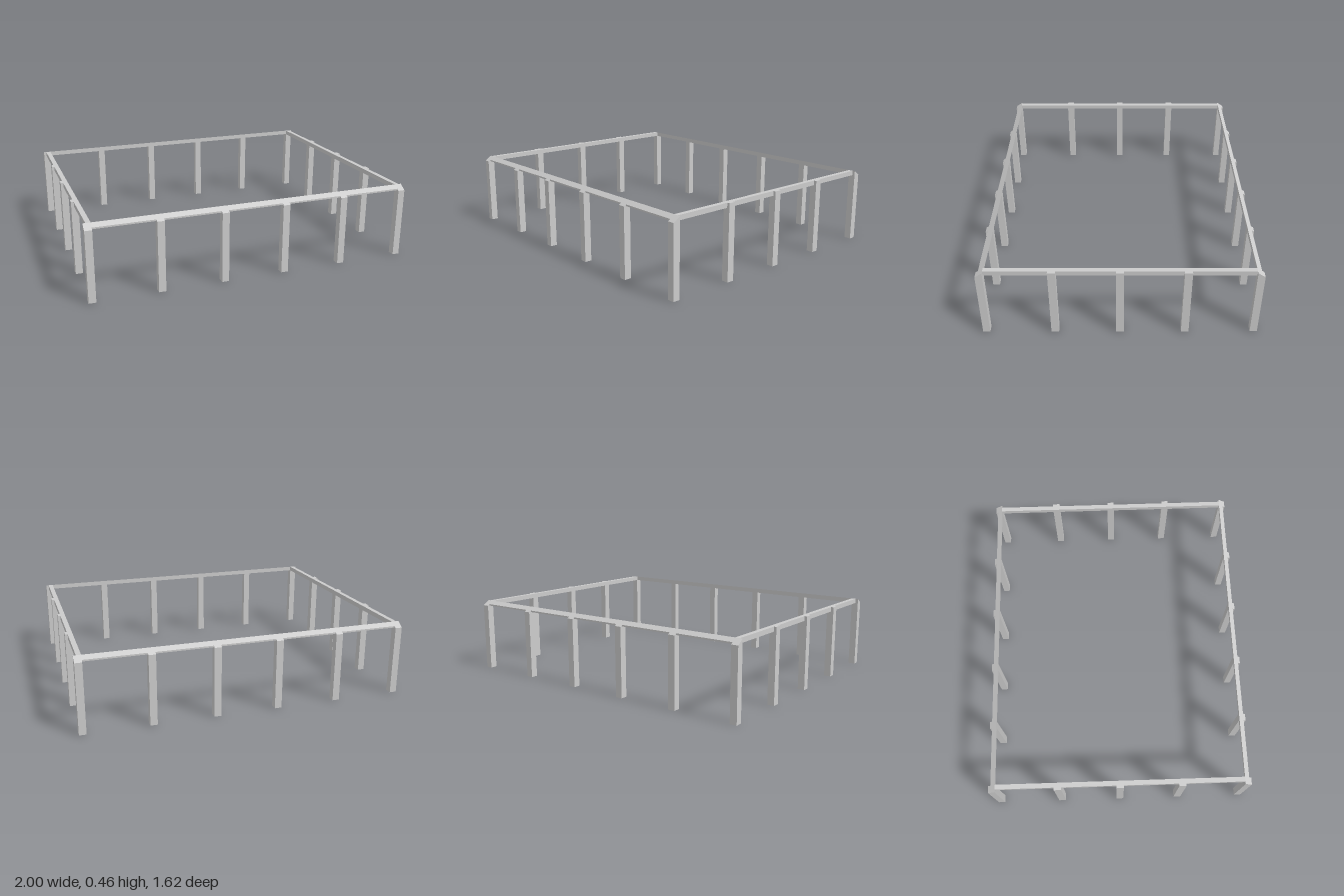
import * as THREE from 'three';

const TOP = 0.457, EAVE = 0.428;   // heights of the ridge edge and the low outer edge
const POST = 0.043, BEAM = 0.029;  // thickness of posts and beams
const INNER_Z = 0.765;             // inner face of the front and back rows
const SIDE_X = 0.978;              // centre line of the side rows

const material = new THREE.MeshStandardMaterial({ color: 0xcccccc, flatShading: true });

// Extrudes a (z, y) section along x; sign -1 mirrors it to the back
function alongX(name, section, length, x, sign) {
  const shape = new THREE.Shape(section.map(([z, y]) => new THREE.Vector2(z, y)));
  const geometry = new THREE.ExtrudeGeometry(shape, { depth: length, bevelEnabled: false });
  geometry.translate(0, 0, -length / 2);
  geometry.rotateY(-Math.PI / 2); // shape x becomes z
  if (sign < 0) geometry.rotateY(Math.PI);
  geometry.translate(x, 0, 0);
  const mesh = new THREE.Mesh(geometry, material);
  mesh.name = name;
  return mesh;
}

function box(name, w, h, d, x, y, z) {
  const mesh = new THREE.Mesh(new THREE.BoxGeometry(w, h, d), material);
  mesh.name = name;
  mesh.position.set(x, y, z);
  return mesh;
}

export function createModel() {
  const model = new THREE.Group();
  model.name = 'postAndBeamFrame';

  // Front and back rows: posts cut off at a slope, beams following the slope
  const postSection = [
    [INNER_Z, 0], [INNER_Z + POST, 0], [INNER_Z + POST, EAVE], [INNER_Z, TOP],
  ];
  const slope = (TOP - EAVE) / POST;
  const beamSection = [
    [INNER_Z, EAVE], [INNER_Z + BEAM, EAVE],
    [INNER_Z + BEAM, TOP - BEAM * slope], [INNER_Z, TOP],
  ];
  for (const sign of [1, -1]) {
    const row = new THREE.Group();
    row.name = sign > 0 ? 'frontRow' : 'backRow';
    for (const x of [-SIDE_X, -0.576, -0.192, 0.19, 0.573, SIDE_X]) {
      const corner = Math.abs(x) === SIDE_X;
      row.add(alongX(corner ? 'cornerPost' : 'post', postSection, POST, x, sign));
    }
    row.add(alongX('slopedBeam', beamSection, 2 * SIDE_X - POST, 0, sign));
    model.add(row);
  }

  // Side rows: square posts standing slightly proud of a flat beam
  for (const sign of [1, -1]) {
    const row = new THREE.Group();
    row.name = sign > 0 ? 'leftRow' : 'rightRow';
    for (const z of [-0.382, 0, 0.382]) {
      row.add(box('post', POST, TOP, POST + 0.002, sign * SIDE_X, TOP / 2, z));
    }
    row.add(box('sideBeam', BEAM, TOP - EAVE, 2 * INNER_Z, sign * 0.969, (TOP + EAVE) / 2, 0));
    model.add(row);
  }

  return model;
}
